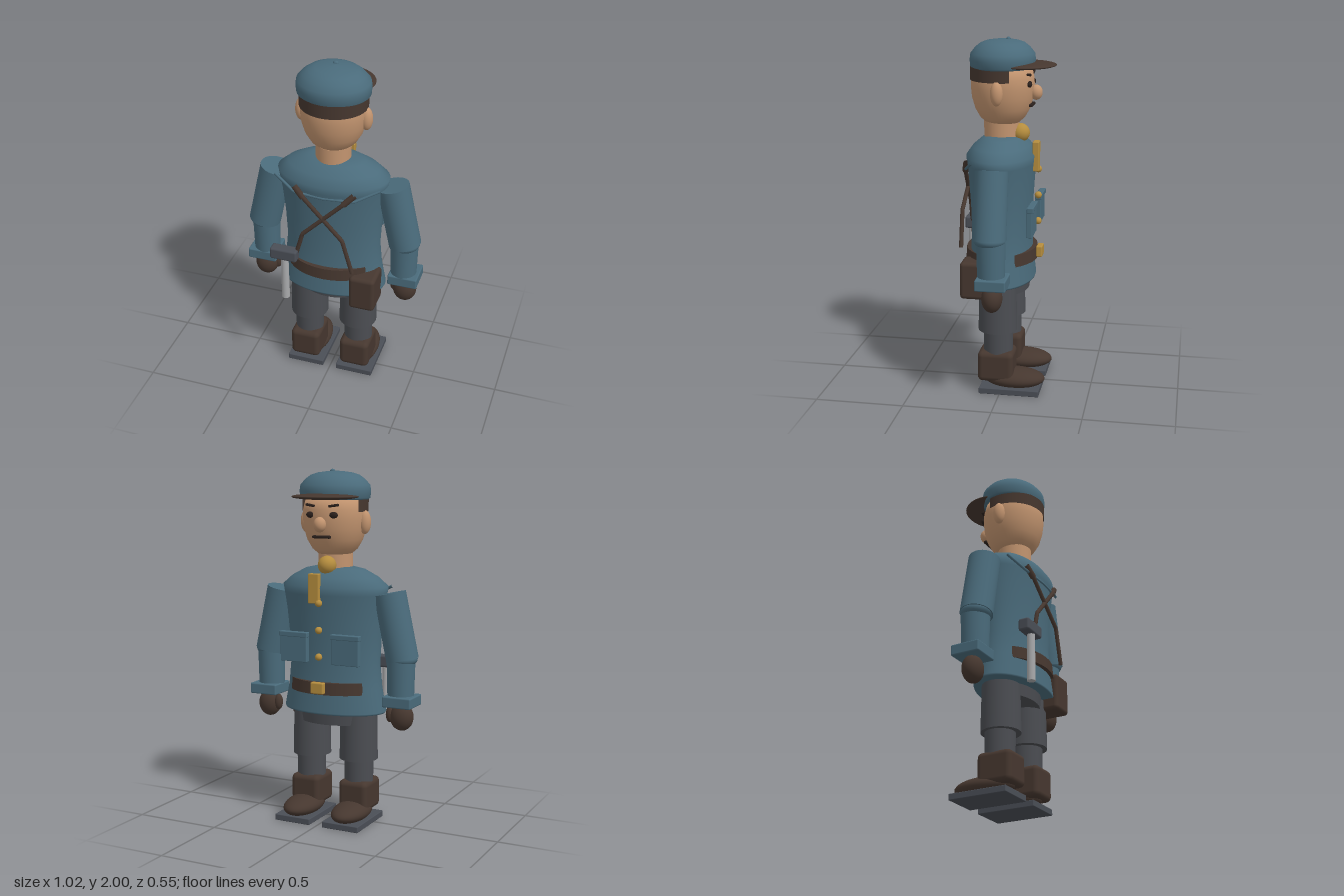
import * as THREE from 'three';
import { RoundedBoxGeometry } from 'three/addons/geometries/RoundedBoxGeometry.js';

const mat = (name, color, side = THREE.FrontSide) => {
  const m = new THREE.MeshStandardMaterial({ color, side });
  m.name = name;
  return m;
};

export function createModel() {
  const root = new THREE.Group();
  const cloth = mat('blue cloth', 0x4a6b7b);
  const skin = mat('skin', 0xc2946f);
  const leather = mat('brown leather', 0x46372f, THREE.DoubleSide);
  const trouser = mat('grey trousers', 0x4b4d52);
  const iron = mat('dark iron', 0x4a4e56);
  const steel = mat('pale steel', 0xa8a9ab);
  const brass = mat('brass', 0xb58d3e);
  const dark = mat('dark features', 0x2b211d);

  const add = (name, geo, m, x = 0, y = 0, z = 0, parent = root) => {
    const mesh = new THREE.Mesh(geo, m);
    mesh.name = name;
    mesh.position.set(x, y, z);
    parent.add(mesh);
    return mesh;
  };
  const ball = (name, m, x, y, z, rx, ry = rx, rz = rx, parent = root) => {
    const s = add(name, new THREE.SphereGeometry(1, 32, 20), m, x, y, z, parent);
    s.scale.set(rx, ry, rz);
    return s;
  };
  const box = (name, m, x, y, z, w, h, d, r = 0.008, parent = root) =>
    add(name, new RoundedBoxGeometry(w, h, d, 3, r), m, x, y, z, parent);
  const cyl = (name, m, x, y, z, rt, rb, h, parent = root) =>
    add(name, new THREE.CylinderGeometry(rt, rb, h, 32), m, x, y, z, parent);
  const lathe = (name, m, pts, z, depth) => {
    const l = add(name, new THREE.LatheGeometry(pts.map(p => new THREE.Vector2(...p)), 48), m, 0, 0, z);
    l.scale.z = depth;
    return l;
  };
  const tube = (name, m, pts, r) => {
    const path = new THREE.CurvePath();
    const v = pts.map(p => new THREE.Vector3(...p));
    for (let i = 1; i < v.length; i++) path.add(new THREE.LineCurve3(v[i - 1], v[i]));
    return add(name, new THREE.TubeGeometry(path, 40, r, 8), m);
  };

  // Coat, with sloping shoulders and a flared hem
  lathe('coat', cloth, [[0, 0.64], [0.305, 0.64], [0.31, 0.65], [0.285, 0.78], [0.272, 0.92],
    [0.28, 1.08], [0.295, 1.22], [0.31, 1.31], [0.318, 1.355], [0.26, 1.405], [0.18, 1.447],
    [0.12, 1.46], [0, 1.46]], 0.025, 0.615);
  const pelvis = cyl('pelvis', trouser, 0, 0.615, 0.01, 0.21, 0.2, 0.08);
  pelvis.scale.z = 0.7;

  // Belt and buckle
  const belt = cyl('belt', leather, 0, 0.79, 0.025, 0.262, 0.268, 0.068);
  belt.scale.z = 0.76;
  box('buckle', brass, 0, 0.797, -0.192, 0.08, 0.065, 0.035);

  // Neck and head
  cyl('neck', skin, 0, 1.49, 0.028, 0.098, 0.098, 0.1);
  lathe('head', skin, [[0, 1.525], [0.09, 1.528], [0.128, 1.56], [0.157, 1.61], [0.175, 1.67],
    [0.182, 1.73], [0.18, 1.78], [0.165, 1.84], [0, 1.86]], 0.022, 0.97);
  ball('nose', skin, 0, 1.7, -0.165, 0.035, 0.042, 0.035);
  box('mouth', dark, 0, 1.632, -0.142, 0.11, 0.016, 0.022, 0.006);

  // Hair around the back of the head
  const hair = add('hair', new THREE.CylinderGeometry(0.188, 0.187, 0.075, 40, 1, true, -Math.PI * 0.62, Math.PI * 1.24),
    leather, 0, 1.805, 0.024);
  hair.scale.z = 0.95;

  // Cap and peak
  lathe('cap', cloth, [[0, 1.833], [0.19, 1.833], [0.2, 1.842], [0.204, 1.88], [0.199, 1.912],
    [0.17, 1.945], [0.138, 1.968], [0.1, 1.98], [0.04, 1.988], [0, 1.99]], 0.022, 0.89);
  ball('capButton', cloth, 0, 1.988, -0.01, 0.016, 0.012, 0.012);
  ball('capPeak', leather, 0, 1.85, -0.1, 0.19, 0.018, 0.176);

  // Brass collar ball, chest bar and coat buttons
  ball('collarBall', brass, 0, 1.473, -0.078, 0.052);
  box('chestBar', brass, 0.03, 1.35, -0.172, 0.065, 0.165, 0.035, 0.005);
  for (const y of [1.27, 1.12, 0.97]) ball('coatButton', brass, 0, y, -0.18, 0.02);

  // Paired parts
  for (const s of [-1, 1]) {
    const side = new THREE.Group();
    side.name = s > 0 ? 'leftSide' : 'rightSide';
    root.add(side);

    ball('ear', skin, s * 0.182, 1.71, 0.025, 0.034, 0.066, 0.035, side);
    ball('eye', dark, s * 0.07, 1.752, -0.138, 0.027, 0.018, 0.014, side);
    box('brow', dark, s * 0.07, 1.803, -0.135, 0.06, 0.014, 0.02, 0.005, side).rotation.z = s * 0.15;

    // Arm
    const upper = cyl('upperArm', cloth, s * 0.378, 1.14, 0.022, 0.09, 0.091, 0.375, side);
    upper.rotation.z = s * 0.215;
    ball('elbow', cloth, s * 0.415, 0.965, 0.02, 0.088, 0.05, 0.088, side);
    cyl('forearm', cloth, s * 0.413, 0.85, 0.014, 0.08, 0.074, 0.23, side);
    box('cuff', cloth, s * 0.423, 0.73, 0.005, 0.17, 0.062, 0.168, 0.008, side);
    ball('hand', leather, s * 0.423, 0.637, 0.008, 0.068, 0.078, 0.057, side);
    ball('thumb', leather, s * 0.358, 0.648, -0.005, 0.024, 0.046, 0.026, side);

    // Breast pocket with flap
    const pocket = new THREE.Group();
    pocket.name = 'pocket';
    pocket.position.set(s * 0.16, 1.015, -0.165);
    side.add(pocket);
    box('pocketBody', cloth, 0, 0, 0, 0.165, 0.165, 0.034, 0.004, pocket);
    box('pocketFlap', cloth, 0, 0.073, -0.006, 0.175, 0.028, 0.036, 0.004, pocket);

    // Leg and boot
    cyl('thigh', trouser, s * 0.15, 0.5, 0.025, 0.105, 0.11, 0.27, side);
    cyl('shin', trouser, s * 0.153, 0.3, 0.022, 0.084, 0.082, 0.2, side);
    box('bootShaft', leather, s * 0.153, 0.157, 0.028, 0.178, 0.178, 0.205, 0.03, side);
    ball('bootToe', leather, s * 0.153, 0.075, -0.07, 0.1, 0.056, 0.176, side);
    box('sole', iron, s * 0.152, 0.022, -0.054, 0.222, 0.035, 0.342, 0.004, side);

    // Crossed back strap with a thicker top end
    const a = [-s * 0.17, 1.325, 0.195], b = [-s * 0.115, 1.27, 0.212];
    tube('backStrap', leather, [a, b, [s * 0.115, 1.045, 0.232], [s * 0.172, 0.84, 0.23]], 0.012);
    tube('strapEnd', leather, [a, b], 0.018);
  }

  // Thin cord across the shoulder blades
  tube('backCord', cloth, [[-0.3, 1.35, 0.143], [-0.17, 1.29, 0.2], [0, 1.285, 0.212],
    [0.17, 1.29, 0.2], [0.3, 1.35, 0.143]], 0.008);

  // Hammer and pouch hung at the back
  box('hammerHead', iron, -0.22, 0.9, 0.242, 0.158, 0.07, 0.064, 0.012);
  cyl('hammerHandle', steel, -0.218, 0.735, 0.246, 0.021, 0.023, 0.275);
  box('pouch', leather, 0.221, 0.682, 0.128, 0.15, 0.212, 0.175, 0.022);

  return root;
}
